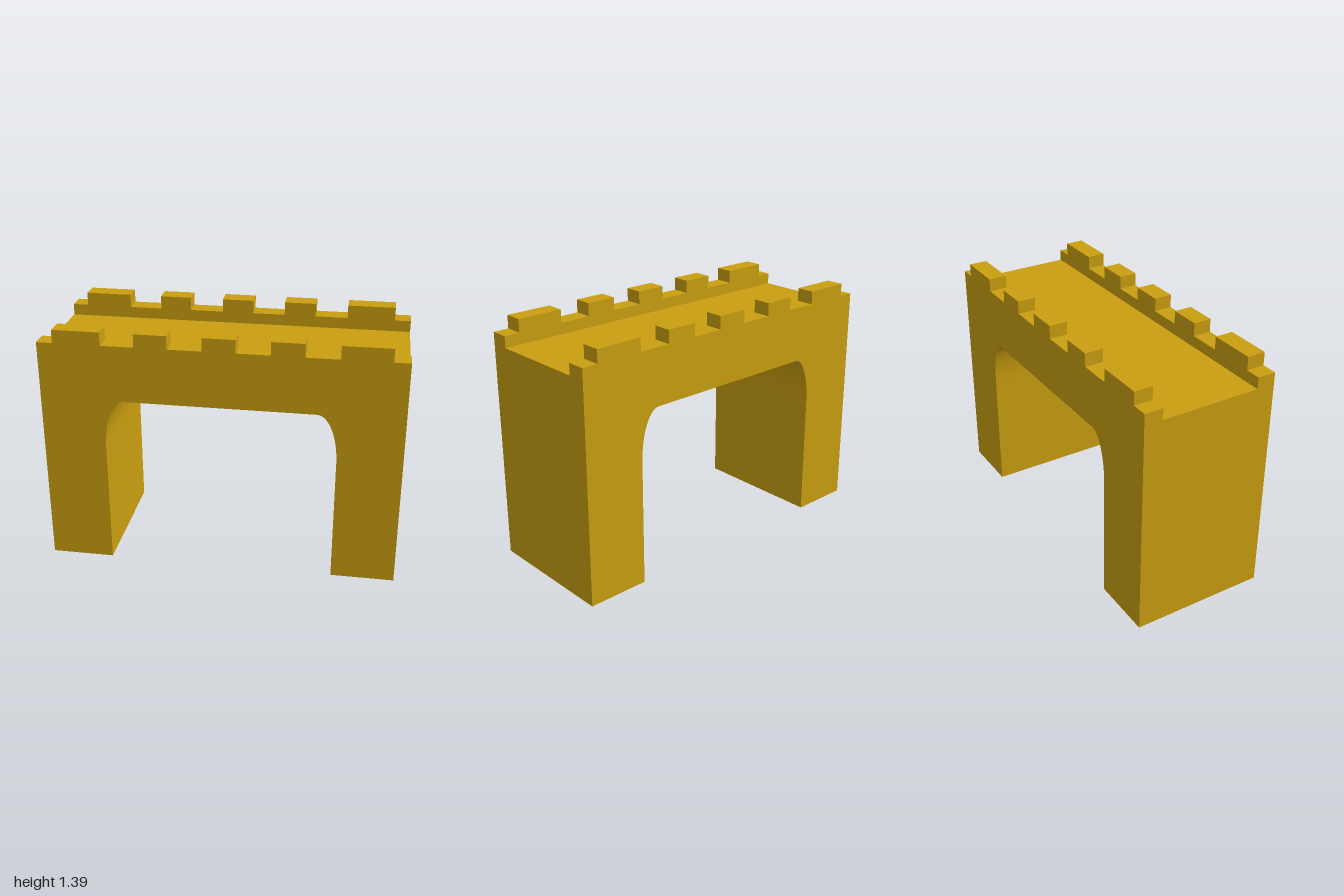
import * as THREE from 'three';
import { toCreasedNormals } from 'three/addons/utils/BufferGeometryUtils.js';

const HALF_DEPTH = 0.388;   // half thickness of the gate
const WALL = 0.105;         // parapet thickness
const DECK = 1.255;         // walkway height
const CRENEL = 1.32;        // parapet height between merlons
const MERLON = 1.395;       // parapet height at merlons

export function createModel() {
  const group = new THREE.Group();
  group.name = 'castleGate';
  const material = new THREE.MeshStandardMaterial({ color: 0xc99e10 });

  // Extrude an x/y outline from z0 to z0 + depth
  const addSlab = (name, shape, z0, depth) => {
    const flat = new THREE.ExtrudeGeometry(shape, { depth, bevelEnabled: false, curveSegments: 12 });
    const mesh = new THREE.Mesh(toCreasedNormals(flat, Math.PI / 6), material);
    mesh.position.z = z0;
    mesh.name = name;
    group.add(mesh);
  };

  // Gate body: two legs and a span, with rounded upper corners in the opening
  const rx = 0.115, ry = 0.28, inner = 0.643;
  const body = new THREE.Shape();
  body.moveTo(-1, 0);
  body.lineTo(-inner, 0);
  body.lineTo(-inner, 1 - ry);
  body.absellipse(-inner + rx, 1 - ry, rx, ry, Math.PI, Math.PI / 2, true);
  body.lineTo(inner - rx, 1);
  body.absellipse(inner - rx, 1 - ry, rx, ry, Math.PI / 2, 0, true);
  body.lineTo(inner, 0);
  body.lineTo(1, 0);
  body.lineTo(1, DECK);
  body.lineTo(-1, DECK);
  body.closePath();
  addSlab('gateBody', body, -HALF_DEPTH, 2 * HALF_DEPTH);

  // Parapet outline: low wall with five merlons, the outer two wider
  const merlons = [[0.64, 0.91], [0.275, 0.455], [-0.09, 0.09], [-0.46, -0.28], [-0.645, -0.91]]
    .map(([a, b]) => [Math.max(a, b), Math.min(a, b)]);
  const parapet = new THREE.Shape();
  parapet.moveTo(-1, DECK);
  parapet.lineTo(1, DECK);
  parapet.lineTo(1, CRENEL);
  for (const [right, left] of merlons) {
    parapet.lineTo(right, CRENEL);
    parapet.lineTo(right, MERLON);
    parapet.lineTo(left, MERLON);
    parapet.lineTo(left, CRENEL);
  }
  parapet.lineTo(-1, CRENEL);
  parapet.closePath();
  addSlab('frontParapet', parapet, HALF_DEPTH - WALL, WALL);
  addSlab('backParapet', parapet, -HALF_DEPTH, WALL);

  return group;
}
